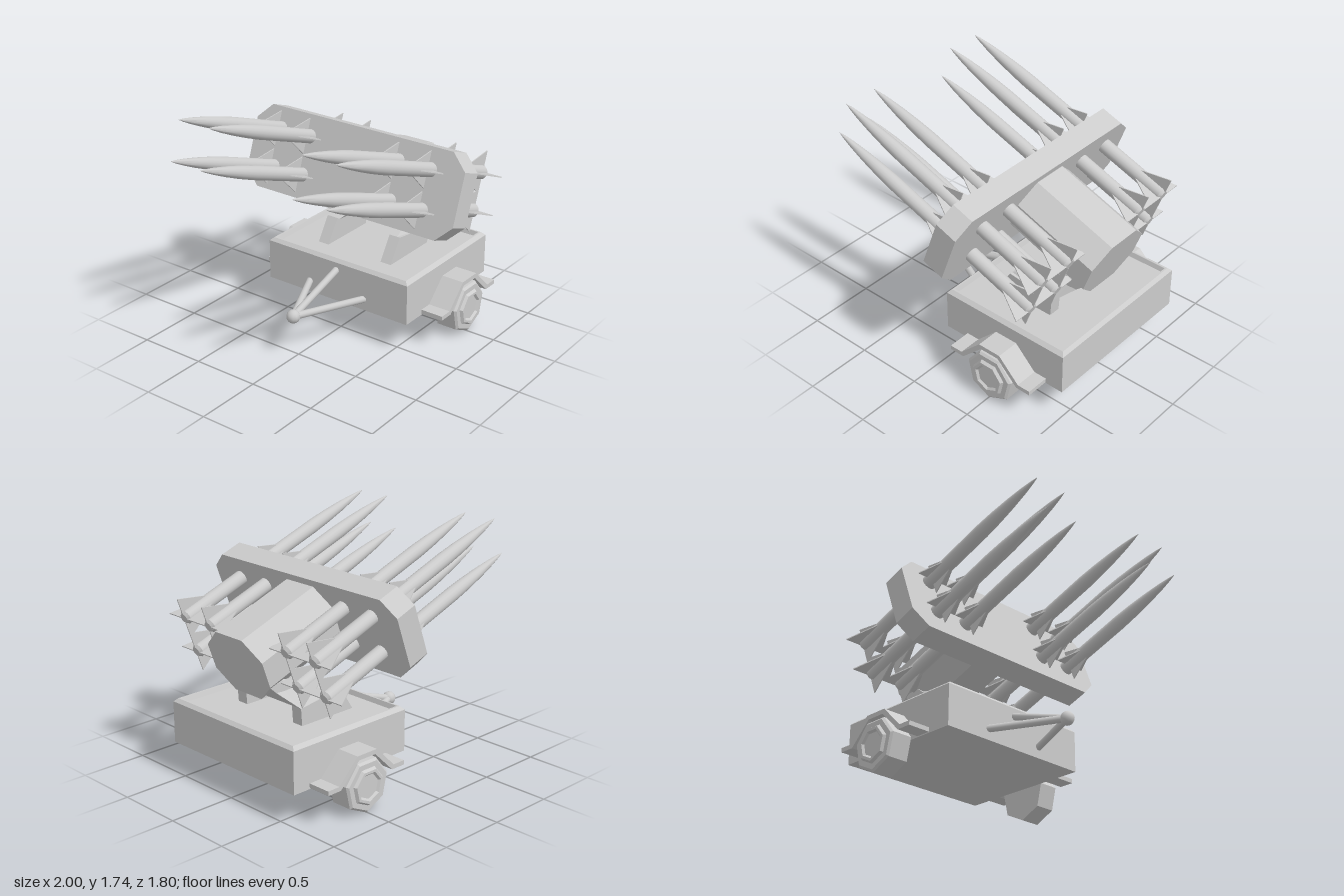
import * as THREE from 'three';
import { toCreasedNormals } from 'three/addons/utils/BufferGeometryUtils.js';

const grey = new THREE.MeshStandardMaterial({ color: 0xcccccc, flatShading: true });
const smooth = new THREE.MeshStandardMaterial({ color: 0xcccccc });
const MID = -0.015; // z of the trailer's centre line
const TILT = THREE.MathUtils.degToRad(20);

function add(parent, name, geometry, material = grey) {
  const mesh = new THREE.Mesh(geometry, material);
  mesh.name = name;
  parent.add(mesh);
  return mesh;
}

const points = (list) => list.map(([x, y]) => new THREE.Vector2(x, y));

// Outline in x/y, extruded along z from z0 to z1
function slab(outline, z0, z1) {
  const geometry = new THREE.ExtrudeGeometry(new THREE.Shape(points(outline)), { depth: z1 - z0, bevelEnabled: false });
  return geometry.translate(0, 0, z0);
}

// Rectangle with cut corners in z/y, extruded along x from x0 to x1
function cutBlock(halfZ, halfY, cutZ, cutY, x0, x1) {
  const a = halfZ - cutZ, b = halfY - cutY;
  const outline = [[halfZ, -b], [halfZ, b], [a, halfY], [-a, halfY], [-halfZ, b], [-halfZ, -b], [-a, -halfY], [a, -halfY]];
  return slab(outline, 0, x1 - x0).rotateY(Math.PI / 2).translate(x0, 0, 0);
}

function bar(parent, name, from, to, radius) {
  const a = new THREE.Vector3(...from), b = new THREE.Vector3(...to);
  const mesh = add(parent, name, new THREE.CylinderGeometry(radius, radius, a.distanceTo(b), 12), smooth);
  mesh.position.lerpVectors(a, b, 0.5);
  mesh.quaternion.setFromUnitVectors(new THREE.Vector3(0, 1, 0), b.sub(a).normalize());
}

// Missile with its nose tip at the origin, pointing to -x
function createMissile() {
  const missile = new THREE.Group();
  missile.name = 'missile';
  const profile = points([[0, -1.87], [0.035, -1.87], [0.052, -1.85], [0.052, -0.56], [0.047, -0.42],
    [0.037, -0.27], [0.024, -0.14], [0.011, -0.05], [0, 0]]);
  const body = new THREE.LatheGeometry(profile, 16).rotateZ(Math.PI / 2);
  add(missile, 'missileBody', toCreasedNormals(body, 0.5), smooth);
  const finSets = [['frontFin', 0.89, 1.09, 0.13], ['tailFin', 1.61, 1.87, 0.16]];
  for (const [name, lead, trail, span] of finSets) {
    const fin = slab([[lead, 0.035], [trail, 0.035], [trail, span]], -0.004, 0.004);
    for (let i = 0; i < 4; i++) add(missile, name, fin).rotation.x = i * Math.PI / 2;
  }
  return missile;
}

function createLauncher() {
  const launcher = new THREE.Group();
  launcher.name = 'launcher';
  launcher.rotation.z = -TILT;
  add(launcher, 'launchPlate', cutBlock(0.9, 0.308, 0.12, 0.117, -0.31, -0.137)).position.y = 1.176;
  add(launcher, 'pod', cutBlock(0.275, 0.2375, 0.145, 0.14, -0.2, 0.542)).position.set(0, 1.195, MID);
  const missile = createMissile();
  for (const y of [1.044, 1.327]) {
    for (const z of [-0.648, -0.385, 0.385, 0.648]) {
      const copy = missile.clone();
      copy.position.set(-1.443, y, z + MID);
      launcher.add(copy);
    }
  }
  return launcher;
}

// Yoke leg: upright foot, then an upper part leaning in under the pod
function createLeg(side) {
  const foot = [[0.17, 0.51], [0.65, 0.51], [0.66, 0.65], [0.29, 0.7]];
  const leg = new THREE.Group();
  leg.name = 'yokeLeg';
  add(leg, 'yokeFoot', slab(foot, side * 0.28 - 0.045, side * 0.28 + 0.045));
  const upper = slab([[0.29, 0.7], [0.66, 0.65], [0.86, 0.83], [0.8, 0.9], [0.66, 0.82]], -0.045, 0.045);
  const p = upper.attributes.position;
  for (let i = 0; i < p.count; i++) {
    const lean = Math.max(0, p.getY(i) - 0.67) * 0.75;
    p.setZ(i, p.getZ(i) + side * (0.28 - lean));
  }
  upper.computeVertexNormals();
  add(leg, 'yokeArm', upper);
  return leg;
}

function createWheel(side) {
  const wheel = new THREE.Group();
  wheel.name = 'wheelUnit';
  // Seven-sided tyre with a raised, dished hub
  const profile = points([[0, -0.09], [0.197, -0.09], [0.197, 0.065], [0.18, 0.08], [0.14, 0.08],
    [0.125, 0.1], [0.105, 0.1], [0.09, 0.085], [0, 0.085]]);
  const tyre = new THREE.LatheGeometry(profile, 7).rotateX(Math.PI / 2);
  // Turn a corner to the ground
  add(wheel, 'wheel', tyre).position.set(0.505, 0.197, 0.72);
  const outer = [[-0.355, 0.27], [-0.255, 0.27], [-0.09, 0.433], [0.09, 0.433], [0.255, 0.27], [0.355, 0.27]];
  const inner = [[0.355, 0.238], [0.24, 0.238], [0.075, 0.4], [-0.075, 0.4], [-0.24, 0.238], [-0.355, 0.238]];
  const fender = slab([...outer, ...inner], 0.6, 0.79);
  add(wheel, 'fender', fender).position.x = 0.505;
  if (side < 0) {
    // Turn about the axle so the outer face points to -z
    wheel.rotation.y = Math.PI;
    wheel.position.x = 1.01;
  }
  return wheel;
}

export function createModel() {
  const model = new THREE.Group();
  model.name = 'missileLauncherTrailer';
  const trailer = new THREE.Group();
  trailer.name = 'trailer';
  trailer.position.z = MID;
  model.add(trailer, createLauncher());

  // Four-sided body with bevelled rim and sunken deck
  const tray = points([[0, 0.23], [1, 0.23], [1, 0.535], [0.955, 0.56], [0.93, 0.56], [0.91, 0.525], [0, 0.525]]);
  const body = new THREE.LatheGeometry(tray, 4).rotateY(Math.PI / 4);
  body.scale(0.52 * Math.SQRT2, 1, 0.617 * Math.SQRT2).translate(0.48, 0, 0);
  add(trailer, 'trailerBody', body);

  for (const side of [-1, 1]) trailer.add(createLeg(side), createWheel(side));
  add(trailer, 'yokeBridge', slab([[0.48, 0.675], [0.66, 0.65], [0.86, 0.83], [0.72, 0.85]], -0.24, 0.24));

  // Drawbar: two low side bars and a raised middle bar meeting at a ball
  const hitch = [-0.535, 0.315, 0];
  add(trailer, 'hitchBall', new THREE.SphereGeometry(0.05, 10, 8), smooth).position.set(...hitch);
  for (const side of [-1, 1]) bar(trailer, 'drawbarSide', hitch, [-0.02, 0.315, side * 0.25], 0.026);
  bar(trailer, 'drawbarMiddle', hitch, [-0.02, 0.48, 0], 0.026);
  return model;
}
